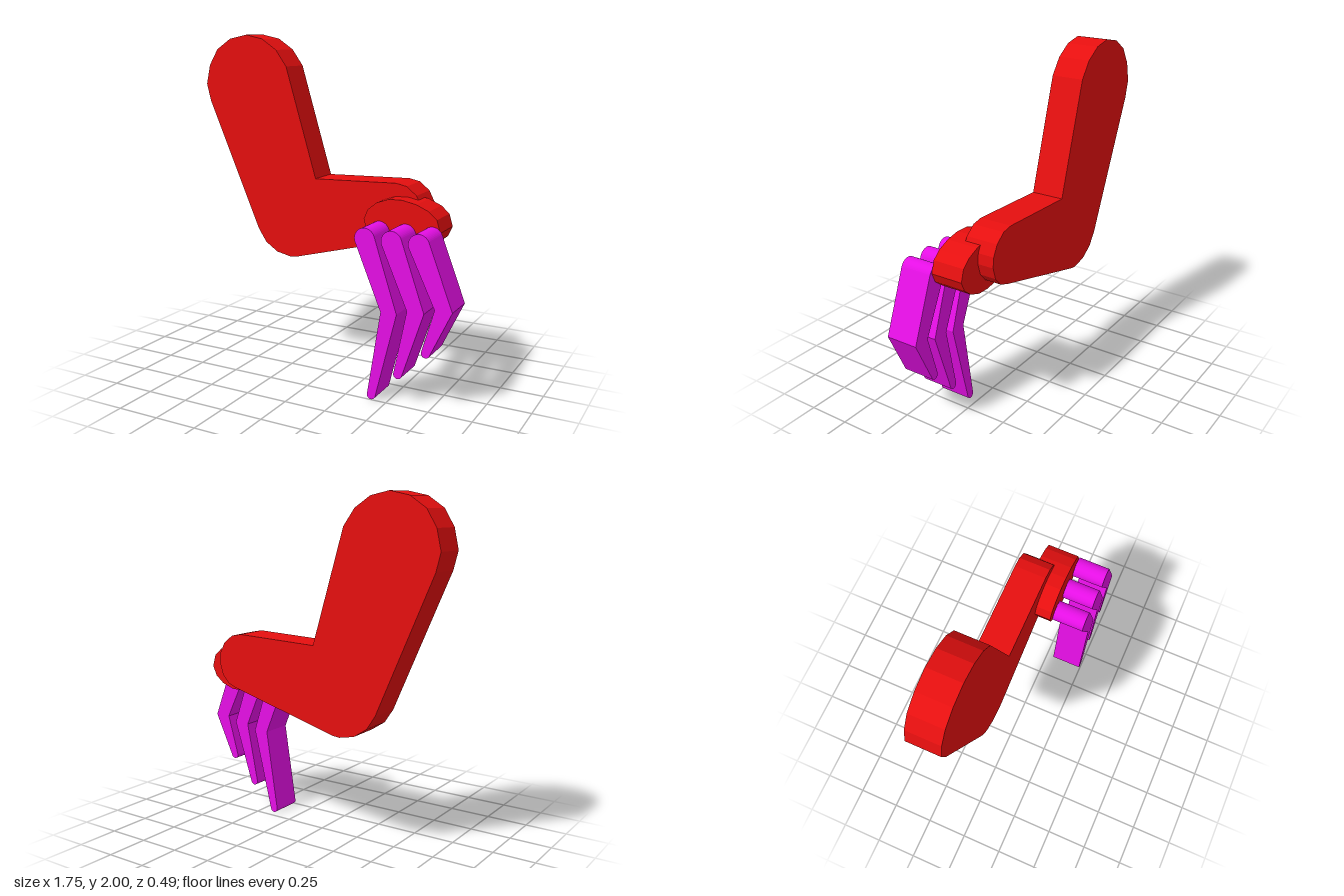
import * as THREE from 'three';

const DEPTH = 0.195;

export function createModel() {
  const red = new THREE.MeshStandardMaterial({ color: 0xe60f0f });
  red.name = 'red';
  const magenta = new THREE.MeshStandardMaterial({ color: 0xe60fe6 });
  magenta.name = 'magenta';

  const group = new THREE.Group();
  group.name = 'armAndHand';

  // Flat slab cut from an outline, with its back face at z
  const addSlab = (name, shape, z, material) => {
    const geometry = new THREE.ExtrudeGeometry(shape, {
      depth: DEPTH, bevelEnabled: false, curveSegments: 12,
    });
    const mesh = new THREE.Mesh(geometry, material);
    mesh.name = name;
    mesh.position.z = z;
    group.add(mesh);
  };
  const outline = (points) => new THREE.Shape(points.map(([x, y]) => new THREE.Vector2(x, y)));

  // Bent arm: rounded shoulder, inner elbow, rounded wrist, outer elbow
  addSlab('arm', outline([
    [-0.849, 1.601], [-0.875, 1.703], [-0.849, 1.818], [-0.791, 1.913], [-0.696, 1.976],
    [-0.579, 2.0], [-0.468, 1.976], [-0.373, 1.913], [-0.304, 1.818],
    [-0.108, 1.167],
    [0.41, 1.183], [0.475, 1.17], [0.535, 1.122], [0.567, 1.06], [0.573, 1.0],
    [0.552, 0.93], [0.51, 0.882], [0.45, 0.858],
    [-0.241, 0.675], [-0.283, 0.67], [-0.378, 0.69], [-0.458, 0.743], [-0.511, 0.823],
  ]), -0.245, red);

  // Oval palm: half an outline, repeated by a half turn about its centre
  const halfPalm = [
    [0.257, 0.982], [0.283, 1.04], [0.336, 1.082], [0.41, 1.108],
    [0.489, 1.11], [0.574, 1.093], [0.648, 1.061], [0.696, 1.019],
  ];
  const otherHalf = halfPalm.map(([x, y]) => [2 * 0.487 - x, 2 * 0.965 - y]);
  addSlab('palm', outline([...halfPalm, ...otherHalf]), -0.147, red);

  // Three bent fingers, each tapering from knuckle to tip
  const fingers = [
    { name: 'longFinger', top: 0.357, bend: [0.458, 0.553, 0.519], tip: [0.407, 0.025] },
    { name: 'middleFinger', top: 0.516, bend: [0.613, 0.711, 0.547], tip: [0.565, 0.177] },
    { name: 'shortFinger', top: 0.674, bend: [0.771, 0.87, 0.578], tip: [0.725, 0.327] },
  ];
  for (const { name, top, bend: [inner, outer, y], tip } of fingers) {
    const shape = new THREE.Shape();
    shape.absarc(top, 0.918, 0.061, 0.32, Math.PI + 0.32, false);
    shape.lineTo(inner, y);
    shape.absarc(tip[0], tip[1], 0.025, Math.PI - 0.2, 2 * Math.PI - 0.2, false);
    shape.lineTo(outer, y);
    shape.closePath();
    addSlab(name, shape, 0.05, magenta);
  }

  return group;
}
